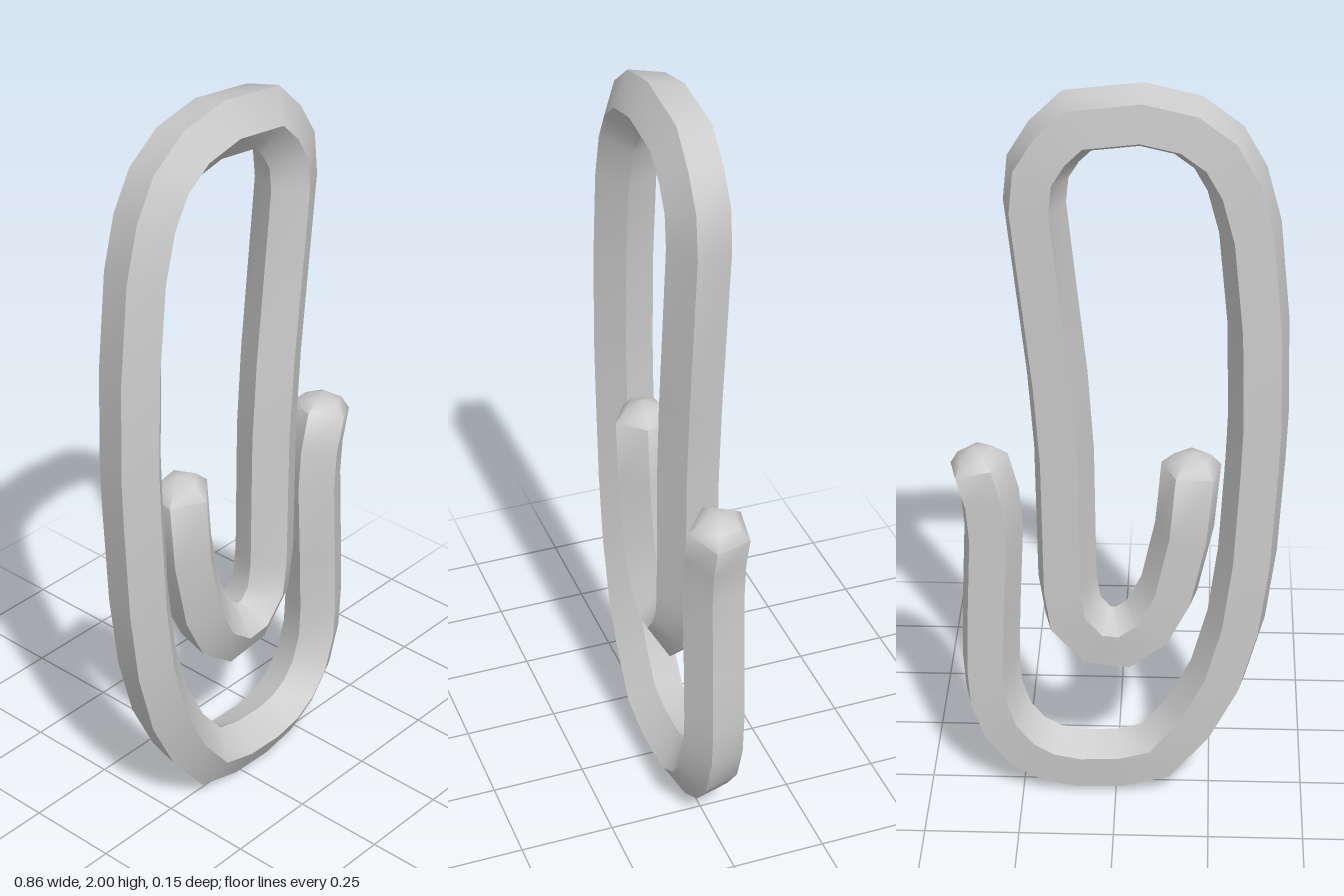
import * as THREE from 'three';
import { toCreasedNormals } from 'three/addons/utils/BufferGeometryUtils.js';

const SIDES = 5, RADIUS = 0.081, TWIST = 0.1, Z0 = -0.004;

// Centre line of the wire, from the inner end to the outer end
const PATH = [
  // inner hook
  [-.193, .98], [-.178, .8], [-.14, .62], [-.09, .52], [-.02, .466], [.055, .474], [.118, .545], [.132, .64],
  // right strand and top bend
  [.137, 1.02], [.152, 1.235], [.202, 1.7], [.193, 1.79], [.153, 1.855], [.097, 1.91], [-.06, 1.928],
  [-.172, 1.902], [-.247, 1.846], [-.293, 1.765], [-.327, 1.64],
  // left strand
  [-.353, 1.39], [-.36, 1.13], [-.356, 1], [-.342, .73], [-.317, .53], [-.272, .36], [-.203, .22],
  // bottom bend and outer end
  [-.113, .108], [-.01, .08], [.1, .077], [.18, .093], [.247, .133], [.302, .203], [.332, .295],
  [.338, .39], [.333, .55], [.322, .785], [.33, .89], [.355, .985],
].map(([x, y]) => new THREE.Vector2(x, y));

// Sweeps a pentagon along the path with mitred bends and domed ends
function wireGeometry(path) {
  const last = path.length - 1;
  const dir = (i) => path[i + 1].clone().sub(path[i]).normalize();
  const rings = path.map((p, i) => {
    const a = dir(Math.max(i - 1, 0)), b = dir(Math.min(i, last - 1));
    const t = a.clone().add(b).normalize();
    return { p, t, size: 1, miter: 1 / t.dot(a) };
  });

  // dome rings: [distance past the end, size]
  const dome = [[0.032, 0.62], [0.045, 0]];
  const cap = (ring, sign) => dome.map(([d, size]) => ({
    p: ring.p.clone().addScaledVector(ring.t, sign * d), t: ring.t, size, miter: 1,
  }));
  const first = rings[0], end = rings[last];
  rings.unshift(...cap(first, -1).reverse());
  rings.push(...cap(end, 1));

  const positions = [], index = [];
  for (const { p, t, size, miter } of rings) {
    for (let j = 0; j < SIDES; j++) {
      const a = Math.PI / 2 + TWIST + (j / SIDES) * Math.PI * 2;
      const out = Math.cos(a) * RADIUS * size * miter;
      positions.push(p.x + t.y * out, p.y - t.x * out, Z0 + Math.sin(a) * RADIUS * size);
    }
  }
  for (let i = 0; i < rings.length - 1; i++) {
    for (let j = 0; j < SIDES; j++) {
      const k = (j + 1) % SIDES;
      const a = i * SIDES + j, d = i * SIDES + k, b = a + SIDES, c = d + SIDES;
      if (rings[i].size > 0) index.push(a, b, d);
      if (rings[i + 1].size > 0) index.push(b, c, d);
    }
  }
  const geometry = new THREE.BufferGeometry();
  geometry.setAttribute('position', new THREE.Float32BufferAttribute(positions, 3));
  geometry.setIndex(index);
  return toCreasedNormals(geometry, 1.0);
}

export function createModel() {
  const group = new THREE.Group();
  group.name = 'paperclip';
  const wire = new THREE.Mesh(wireGeometry(PATH), new THREE.MeshStandardMaterial({ color: 0xcccccc }));
  wire.name = 'bentWire';
  group.add(wire);
  return group;
}
